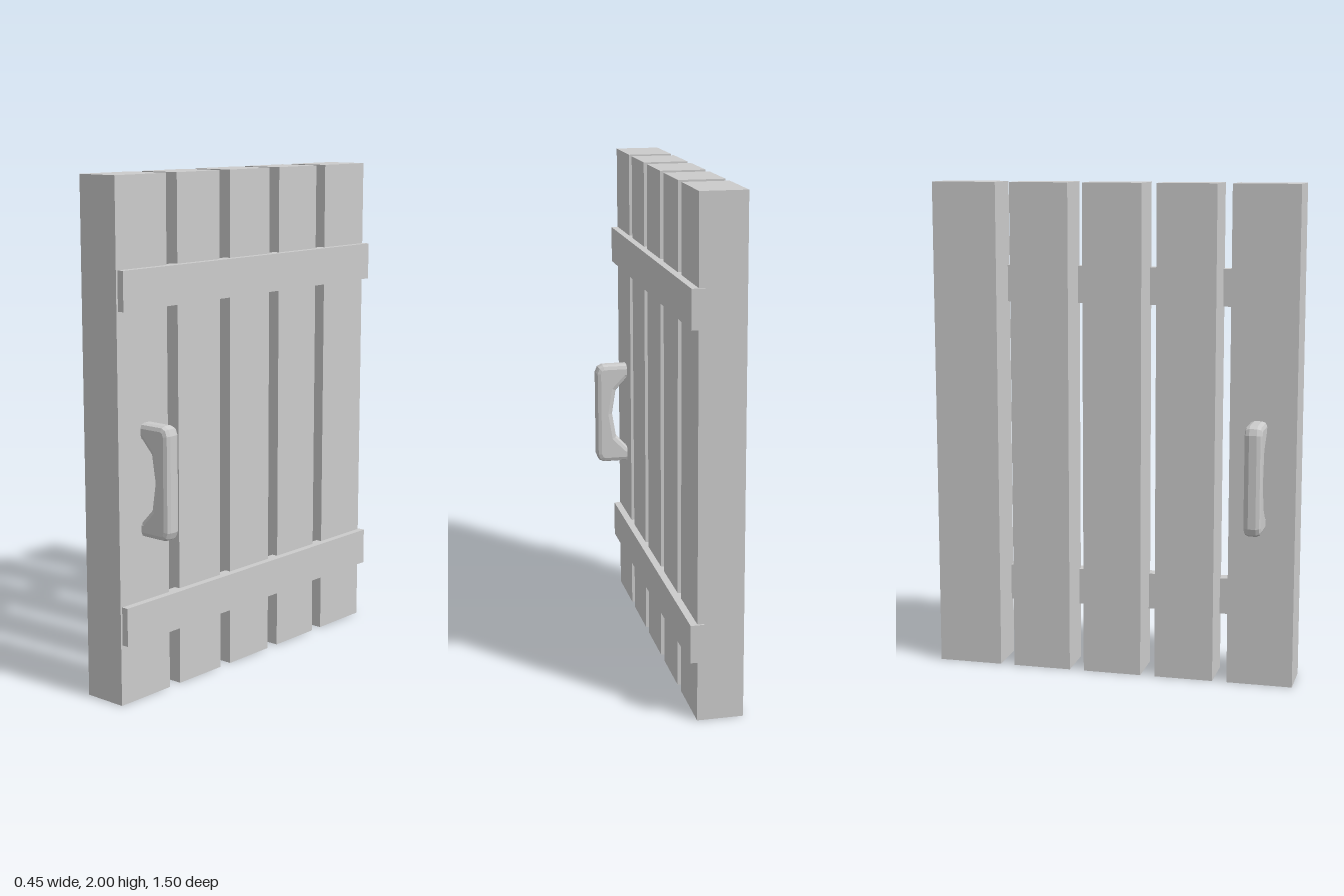
import * as THREE from 'three';

const grey = new THREE.MeshStandardMaterial({ color: 0xcccccc, flatShading: true });

// Box given by its extents along each axis
function boxBetween(name, [x0, x1], [y0, y1], [z0, z1]) {
  const mesh = new THREE.Mesh(new THREE.BoxGeometry(x1 - x0, y1 - y0, z1 - z0), grey);
  mesh.position.set((x0 + x1) / 2, (y0 + y1) / 2, (z0 + z1) / 2);
  mesh.name = name;
  return mesh;
}

// Bevelled C-shaped pull, its feet sunk into the plank
function handleGeometry() {
  const upper = [[0.155, 0], [0.138, 0.105], [0.09, 0.155], [0.04, 0.16], [0.04, 0.22], [0.195, 0.22], [0.215, 0.21], [0.225, 0.185]];
  const lower = upper.slice(1).reverse().map(([x, y]) => [x, -y]);
  const shape = new THREE.Shape([...upper, ...lower].map(([x, y]) => new THREE.Vector2(x, y)));
  const bevel = 0.02;
  const geometry = new THREE.ExtrudeGeometry(shape, {
    depth: 0.03, bevelEnabled: true, bevelThickness: bevel, bevelSize: bevel, bevelOffset: -bevel, bevelSegments: 2,
  });
  return geometry.translate(0, 0, -0.015);
}

export function createModel() {
  const door = new THREE.Group();
  door.name = 'plankDoor';

  // Five upright planks, the outer two slightly wider
  const planks = [[-0.742, -0.477], [-0.418, -0.178], [-0.118, 0.122], [0.182, 0.422], [0.481, 0.747]];
  planks.forEach((z, i) => door.add(boxBetween(`plank${i + 1}`, [-0.09, 0.09], [0, 2], z)));

  // Two cross battens let into the +x face
  door.add(boxBetween('lowerBatten', [0.065, 0.118], [0.24, 0.39], [-0.75, 0.739]));
  door.add(boxBetween('upperBatten', [0.065, 0.118], [1.51, 1.66], [-0.75, 0.739]));

  // A handle on each face
  const geometry = handleGeometry();
  ['leftHandle', 'rightHandle'].forEach((name, i) => {
    const handle = new THREE.Mesh(geometry, grey);
    handle.name = name;
    handle.position.set(0, 0.86, 0.595);
    handle.rotation.y = i * Math.PI;
    door.add(handle);
  });

  return door;
}
